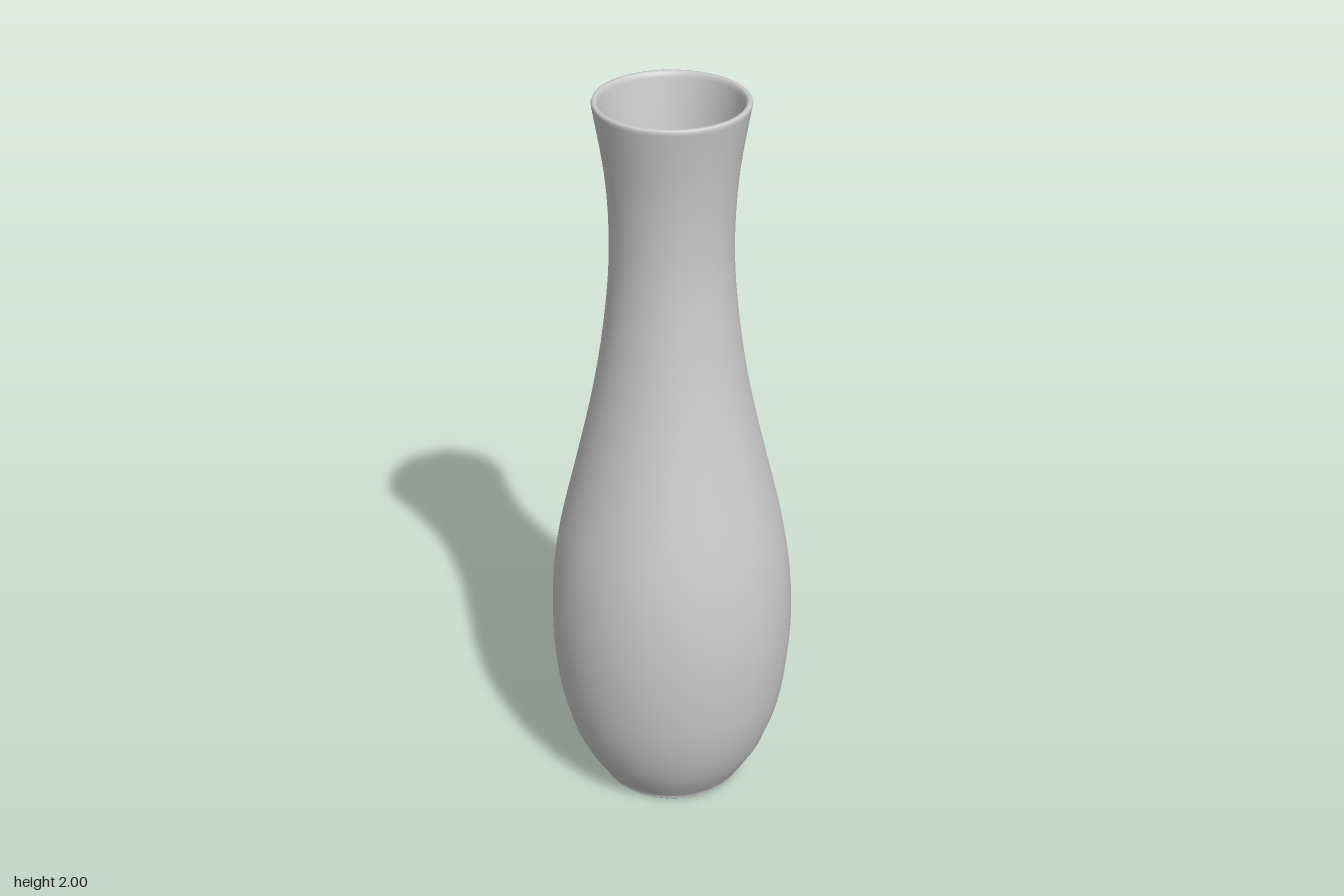
import * as THREE from 'three';

const SIDES = 32;
const WALL = 0.016;

// Silhouette of the body: radius, height
const silhouette = new THREE.SplineCurve([
  [0.2, 0.018], [0.25, 0.1], [0.288, 0.2], [0.313, 0.32], [0.326, 0.48], [0.32, 0.64],
  [0.297, 0.8], [0.25, 1.0], [0.205, 1.2], [0.173, 1.4], [0.157, 1.6], [0.165, 1.8], [0.194, 1.985],
].map(([r, y]) => new THREE.Vector2(r, y)));

export function createModel() {
  const vase = new THREE.Group();
  vase.name = 'vase';
  const material = new THREE.MeshStandardMaterial({ color: 0xcccccc });

  const turn = (name, points) => {
    const mesh = new THREE.Mesh(new THREE.LatheGeometry(points, SIDES), material);
    mesh.name = name;
    vase.add(mesh);
  };
  const v = (r, y) => new THREE.Vector2(r, y);

  const outer = silhouette.getPoints(40);
  const inner = outer.map((p) => v(p.x - WALL, p.y)).filter((p) => p.y > 0.03).reverse();

  // Rounded lip joining the outer and inner walls
  const lip = [v(0.1955, 1.993), v(0.193, 1.999), v(0.186, 2), v(0.18, 1.996)];

  // Outer wall, lip and inner wall as one smooth shell
  turn('body', [v(0.195, 0.004), v(0.196, 0.012), ...outer, ...lip, ...inner]);

  // Foot underside with a small rounded edge
  turn('footEdge', [v(0.191, 0), v(0.195, 0.004)]);
  turn('base', [v(0, 0), v(0.191, 0)]);

  // Flat floor inside the vase
  const end = inner[inner.length - 1];
  turn('innerFloor', [end.clone(), v(0, end.y)]);

  return vase;
}
